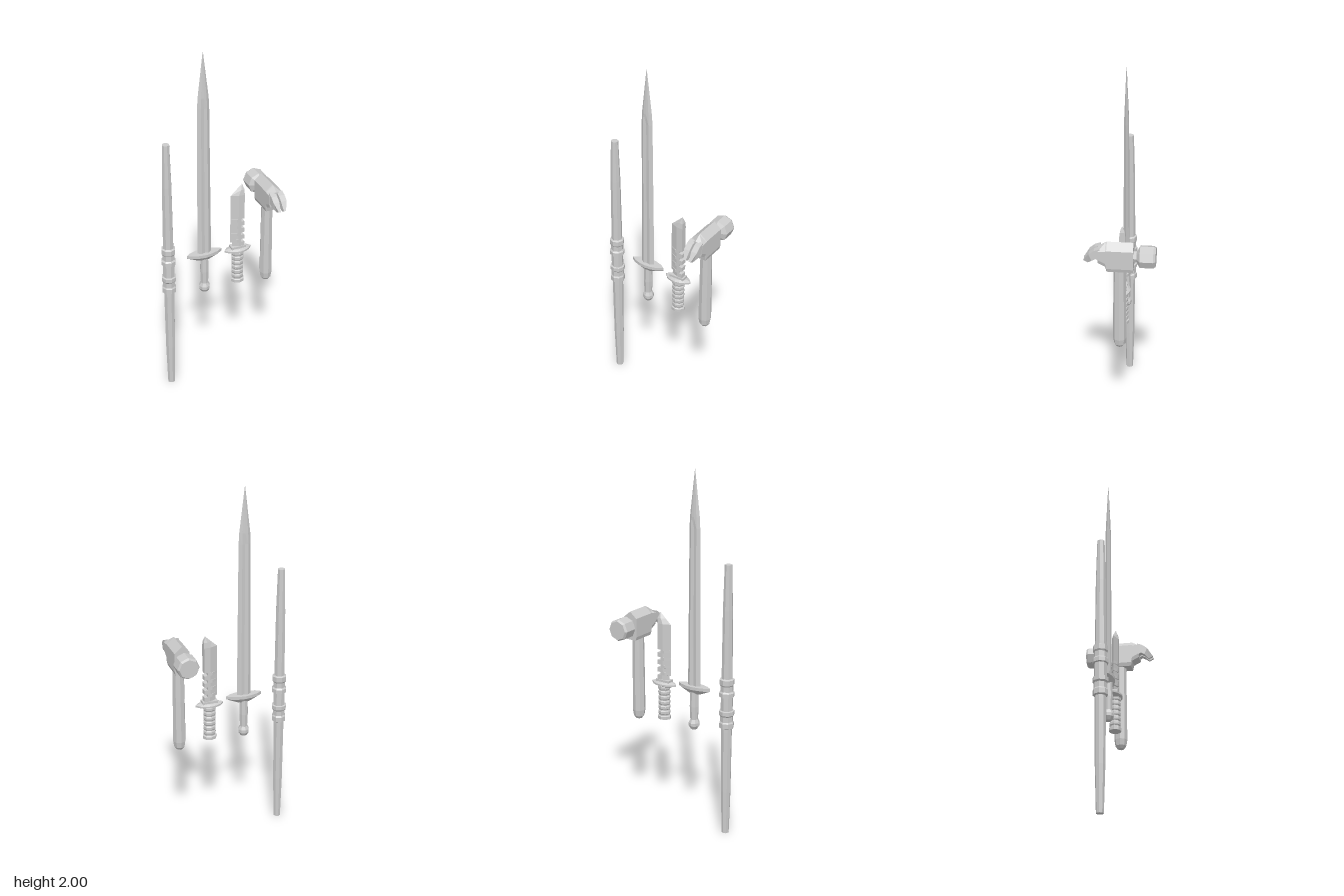
import * as THREE from 'three';

const material = new THREE.MeshStandardMaterial({ color: 0xcccccc, flatShading: true });

function addMesh(parent, name, geometry) {
  const mesh = new THREE.Mesh(geometry, material);
  mesh.name = name;
  parent.add(mesh);
  return mesh;
}

// Closed solid through rings of [x, y, z] points, capped at both ends.
function loft(rings) {
  const n = rings[0].length;
  const tris = [];
  for (let r = 0; r < rings.length - 1; r++) {
    for (let i = 0; i < n; i++) {
      const j = (i + 1) % n;
      const a = rings[r][i], b = rings[r][j], c = rings[r + 1][j], d = rings[r + 1][i];
      tris.push([a, b, c], [a, c, d]);
    }
  }
  const cap = (ring, flip) => {
    const mid = [0, 1, 2].map(k => ring.reduce((s, p) => s + p[k], 0) / n);
    ring.forEach((p, i) => {
      const q = ring[(i + 1) % n];
      tris.push(flip ? [mid, q, p] : [mid, p, q]);
    });
  };
  cap(rings[0], true);
  cap(rings[rings.length - 1], false);
  // A negative volume means the faces point inwards
  const vec = p => new THREE.Vector3(...p);
  const volume = tris.reduce((s, [a, b, c]) => s + vec(a).dot(vec(b).cross(vec(c))), 0);
  if (volume < 0) tris.forEach(t => t.reverse());
  const geometry = new THREE.BufferGeometry();
  geometry.setAttribute('position', new THREE.Float32BufferAttribute(tris.flat(2), 3));
  geometry.computeVertexNormals();
  return geometry;
}

// Eight-sided turned part; profile is [radius, y] from bottom to top.
const turned = profile =>
  new THREE.LatheGeometry(profile.map(([r, y]) => new THREE.Vector2(r, y)), 8);

// Lens outline for a crossguard, scaled at height y.
function lensRing(halfX, halfZ, y, s = 1) {
  const quarter = [[1, 0], [0.72, 0.55], [0.36, 0.87]];
  const half = [...quarter, [0, 1], ...quarter.slice(1).reverse().map(([x, z]) => [-x, z])];
  const all = [...half, ...half.map(([x, z]) => [-x, -z])];
  return all.map(([x, z]) => [x * halfX * s, y, z * halfZ * s]);
}

function makeStaff() {
  const staff = new THREE.Group();
  staff.name = 'staff';
  addMesh(staff, 'staffShaft', turned([
    [0, 0], [0.02, 0], [0.027, 0.25], [0.03, 0.6], [0.03, 0.92], [0.027, 1.28], [0.02, 1.525], [0, 1.525],
  ]));
  // Grip bands, mirrored about the middle of the grip
  const band = [
    [0.029, 0.798], [0.042, 0.802], [0.042, 0.824], [0.035, 0.832], [0.035, 0.862],
    [0.04, 0.87], [0.04, 0.898], [0.029, 0.904],
  ];
  addMesh(staff, 'upperBand', turned(band));
  addMesh(staff, 'lowerBand', turned(band.map(([r, y]) => [r, 1.522 - y]).reverse()));
  addMesh(staff, 'gripWrap', turned([[0.033, 0.7], [0.033, 0.82]]));
  return staff;
}

function makeSword() {
  const sword = new THREE.Group();
  sword.name = 'sword';
  // Blade section: two edges with a shallow fuller in the middle
  const section = (w, t, f, y) => [
    [w, y, 0], [w * 0.5, y, t], [0, y, f], [-w * 0.5, y, t],
    [-w, y, 0], [-w * 0.5, y, -t], [0, y, -f], [w * 0.5, y, -t],
  ];
  addMesh(sword, 'swordBlade', loft([
    section(0.041, 0.015, 0.009, 0.81), section(0.034, 0.012, 0.008, 1.69),
    section(0.031, 0.01, 0.011, 1.75), section(0.001, 0.001, 0.001, 2),
  ]));
  addMesh(sword, 'swordGuard', loft([
    lensRing(0.103, 0.035, 0.775, 0.4), lensRing(0.103, 0.035, 0.803), lensRing(0.103, 0.035, 0.82),
  ]));
  addMesh(sword, 'swordGrip', turned([[0.021, 0.61], [0.025, 0.7], [0.023, 0.785]]));
  addMesh(sword, 'swordPommel', turned([
    [0, 0.565], [0.018, 0.568], [0.031, 0.588], [0.031, 0.605], [0.022, 0.625], [0, 0.625],
  ]));
  return sword;
}

function makeKnife() {
  const knife = new THREE.Group();
  knife.name = 'knife';
  // Blade section: sharp edge on one side, thick spine on the other
  const section = (y, edge, spine, t = 0.017) => {
    const mid = edge + (spine - edge) * 0.55;
    return [[edge, y, 0], [mid, y, t], [spine, y, t], [spine, y, -t], [mid, y, -t]];
  };
  const rings = [section(0.8, -0.035, 0.012), section(0.815, -0.035, 0.012)];
  // Saw teeth along the spine
  for (let i = 0; i < 4; i++) {
    const y = 0.815 + i * 0.043;
    const edge = i === 0 ? -0.035 : -0.045;
    rings.push(section(y, edge, 0.033), section(y + 0.025, edge, 0.033),
      section(y + 0.027, -0.045, 0.014), section(y + 0.043, -0.045, 0.014));
  }
  rings.push(section(0.987, -0.045, 0.033), section(1.135, -0.045, 0.033),
    section(1.165, -0.012, 0.033, 0.013), section(1.197, 0.022, 0.024, 0.001));
  addMesh(knife, 'knifeBlade', loft(rings));
  addMesh(knife, 'bladeCollar', new THREE.BoxGeometry(0.086, 0.02, 0.042)).position.y = 0.805;
  addMesh(knife, 'knifeGuard', loft([
    lensRing(0.08, 0.042, 0.775, 0.55), lensRing(0.08, 0.042, 0.785),
    lensRing(0.08, 0.042, 0.795), lensRing(0.08, 0.042, 0.803, 0.7),
  ]));
  // Ribbed handle with a butt plate
  const profile = [[0, 0.585], [0.039, 0.585], [0.039, 0.602], [0.032, 0.606]];
  for (let y = 0.612; y < 0.76; y += 0.029) {
    profile.push([0.032, y], [0.036, y + 0.006], [0.036, y + 0.019], [0.032, y + 0.025]);
  }
  profile.push([0.032, 0.785]);
  addMesh(knife, 'knifeHandle', turned(profile)).scale.z = 0.88;
  return knife;
}

function makeHammer() {
  const hammer = new THREE.Group();
  hammer.name = 'hammer';
  addMesh(hammer, 'hammerHandle', turned([
    [0, 0.545], [0.018, 0.549], [0.03, 0.565], [0.036, 0.6], [0.034, 0.85], [0.032, 1.04],
  ]));
  // Head block with a ridged top, its underside rising toward the claw
  const section = (z, top, shoulder, bottom, w = 0.042) => [
    [0, top, z], [w, shoulder, z], [w, bottom + 0.02, z], [w * 0.85, bottom, z],
    [-w * 0.85, bottom, z], [-w, bottom + 0.02, z], [-w, shoulder, z],
  ];
  addMesh(hammer, 'hammerHead', loft([
    section(-0.073, 1.19, 1.155, 1.03), section(0.065, 1.19, 1.155, 1.03),
    section(0.072, 1.187, 1.153, 1.06), section(0.11, 1.165, 1.15, 1.08),
  ]));
  // Striking face with its neck, turned to point backwards
  const face = addMesh(hammer, 'strikingFace', turned([
    [0.03, 0.06], [0.03, 0.09], [0.061, 0.108], [0.061, 0.178], [0.053, 0.19], [0, 0.19],
  ]));
  face.rotation.x = -Math.PI / 2;
  face.position.y = 1.11;
  // Curved claw prongs: [z, top y, bottom y, inner x, outer x]
  const path = [
    [0.1, 1.163, 1.09, 0.005, 0.039], [0.13, 1.152, 1.105, 0.005, 0.039],
    [0.158, 1.13, 1.093, 0.005, 0.039], [0.188, 1.085, 1.072, 0.009, 0.021],
  ];
  // The underside trails the top so that the tip hooks down
  for (const side of [-1, 1]) {
    addMesh(hammer, side > 0 ? 'leftClaw' : 'rightClaw', loft(path.map(([z, top, bottom, a, b], i) => [
      [side * a, top, z], [side * b, top, z],
      [side * b, bottom, z - i * 0.008], [side * a, bottom, z - i * 0.008],
    ])));
  }
  return hammer;
}

export function createModel() {
  const model = new THREE.Group();
  model.name = 'weaponSet';
  const items = [[makeStaff(), -0.304], [makeSword(), -0.093], [makeKnife(), 0.108], [makeHammer(), 0.284]];
  for (const [item, x] of items) {
    item.position.x = x;
    model.add(item);
  }
  return model;
}
